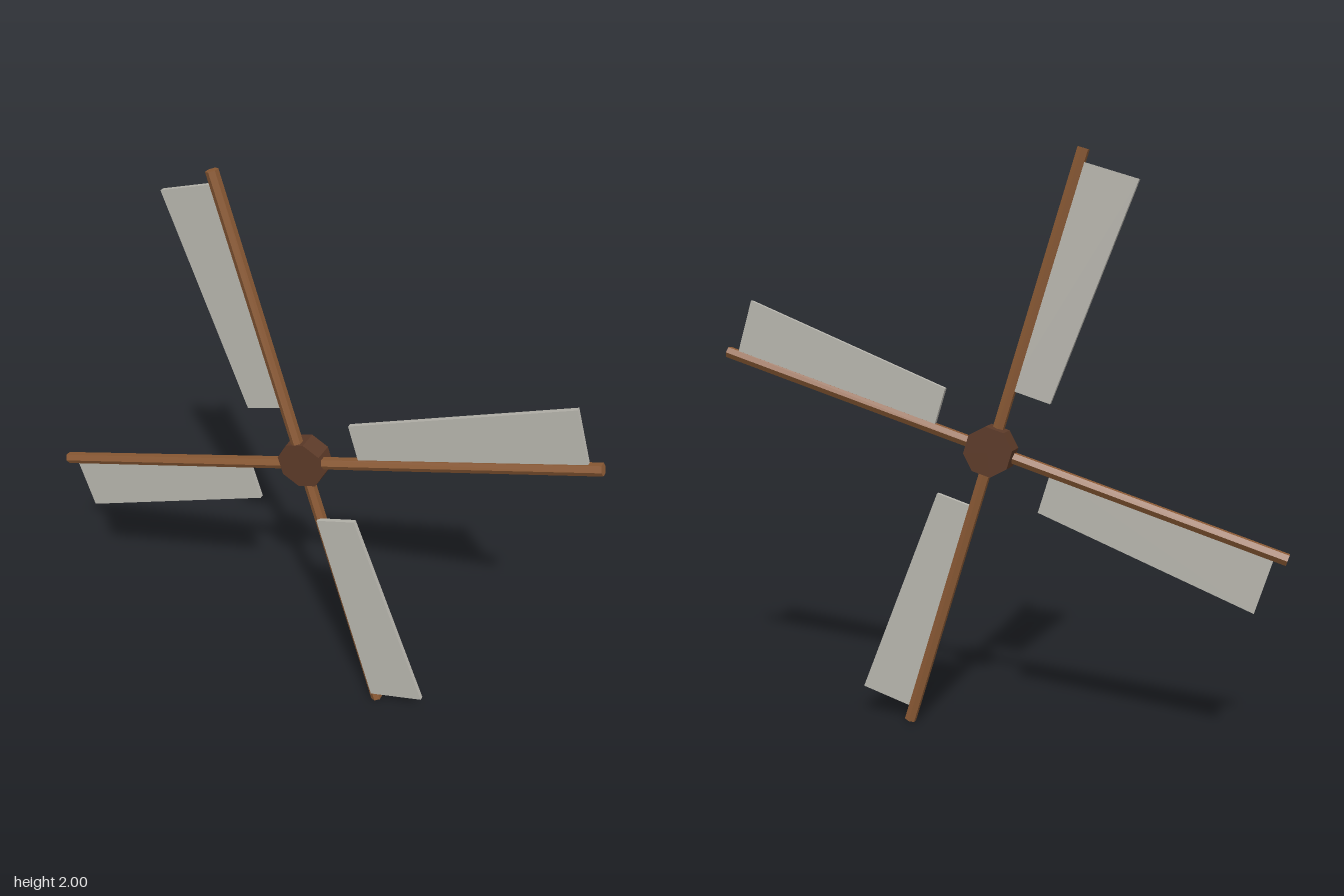
import * as THREE from 'three';

const paint = (name, color) => {
  const m = new THREE.MeshStandardMaterial({ color });
  m.name = name;
  return m;
};

// give every face its own flat normal
const faceted = (geometry) => {
  const g = geometry.toNonIndexed();
  g.computeVertexNormals();
  return g;
};

export function createModel() {
  const wood = paint('wood', 0x8b5a35);
  const darkWood = paint('dark wood', 0x5c3a28);
  const cloth = paint('sail cloth', 0xb8b6ae);

  const group = new THREE.Group();
  group.name = 'windmillSails';
  const add = (parent, name, geometry, material) => {
    const mesh = new THREE.Mesh(geometry, material);
    mesh.name = name;
    parent.add(mesh);
    return mesh;
  };

  // wheel turned a little about its axle
  const wheel = new THREE.Group();
  wheel.name = 'wheel';
  wheel.position.y = 1;
  wheel.rotation.z = 0.3;
  group.add(wheel);

  // eight-sided hub along z
  const hubGeometry = new THREE.CylinderGeometry(0.087, 0.087, 0.072, 8);
  hubGeometry.rotateY(Math.PI / 8).rotateX(Math.PI / 2);
  add(wheel, 'hub', faceted(hubGeometry), darkWood).position.z = -0.004;

  // six-sided spar along +x
  const length = 1.04;
  const sparGeometry = new THREE.CylinderGeometry(0.021, 0.021, length, 6);
  sparGeometry.rotateZ(-Math.PI / 2).translate(length / 2, 0, 0);
  const spar = faceted(sparGeometry);

  // tapered sail panel, widest at the tip
  const outline = new THREE.Shape([
    new THREE.Vector2(0.218, 0),
    new THREE.Vector2(0.998, 0),
    new THREE.Vector2(0.998, 0.206),
    new THREE.Vector2(0.218, 0.147),
  ]);
  const depth = 0.016;
  const sail = new THREE.ExtrudeGeometry(outline, { depth, bevelEnabled: false });
  sail.translate(0, 0, -depth / 2);

  // four arms; the lowest one carries its sail on the front of the spar
  for (let i = 0; i < 4; i++) {
    const arm = new THREE.Group();
    arm.name = 'arm';
    arm.rotation.z = i * Math.PI / 2;
    wheel.add(arm);
    add(arm, 'spar', spar, wood).position.z = 0.011;
    add(arm, 'sail', sail, cloth).position.z = i === 3 ? 0.032 : 0.009;
  }
  return group;
}
